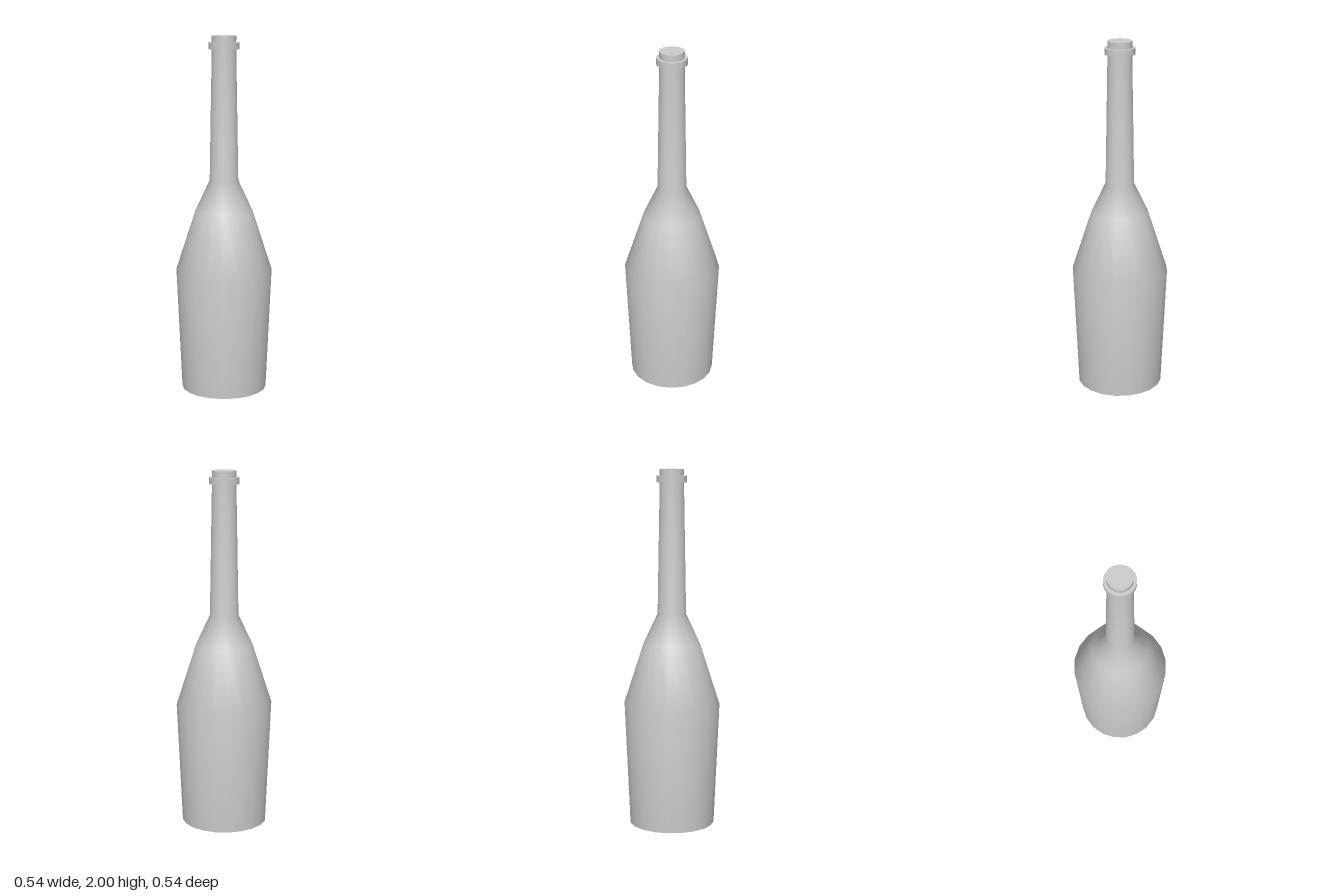
import * as THREE from 'three';

const SIDES = 20;
const material = new THREE.MeshStandardMaterial({ color: 0xcccccc });

export function createModel() {
  const bottle = new THREE.Group();
  bottle.name = 'bottle';

  const add = (name, geometry, y = 0) => {
    const mesh = new THREE.Mesh(geometry, material);
    mesh.name = name;
    mesh.position.y = y;
    bottle.add(mesh);
    return mesh;
  };

  // Smooth glass wall: tapered body, shoulder and long neck
  const profile = [[0.24, 0], [0.27, 0.69], [0.16, 1.03], [0.08, 1.2], [0.067, 1.93]]
    .map(([r, y]) => new THREE.Vector2(r, y));
  add('body', new THREE.LatheGeometry(profile, SIDES));

  // Flat base, turned so its corners meet the wall
  add('base', new THREE.CircleGeometry(0.24, SIDES).rotateX(Math.PI / 2));

  // Collar ring around the mouth
  add('collar', new THREE.CylinderGeometry(0.084, 0.084, 0.036, SIDES), 1.946);

  // Closed mouth standing above the collar
  add('mouth', new THREE.CylinderGeometry(0.067, 0.067, 0.036, SIDES), 1.982);

  return bottle;
}
